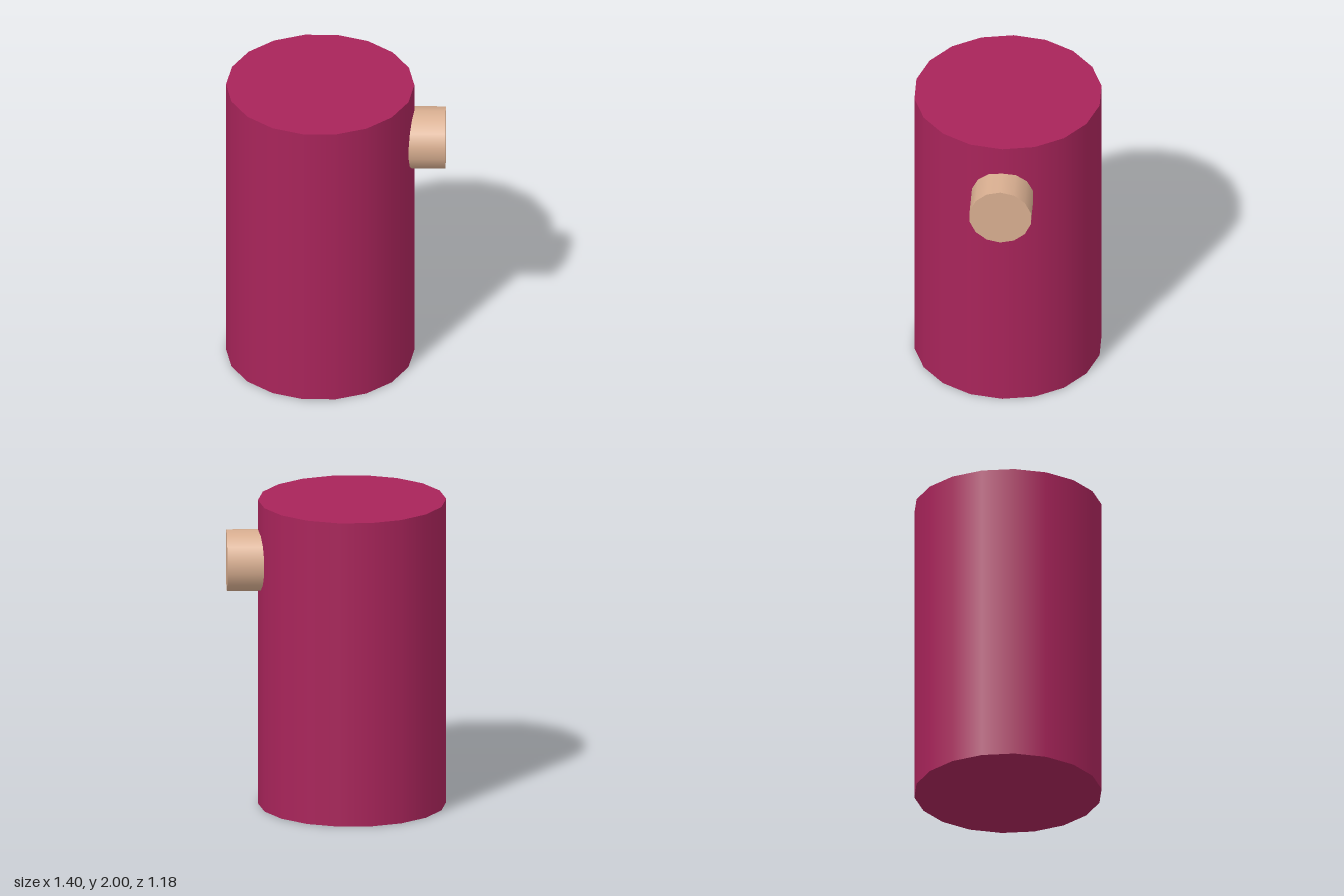
import * as THREE from 'three';

// Capped cylinder with its first corner turned onto the x axis
function cylinder(name, radius, length, sides, color) {
  const geometry = new THREE.CylinderGeometry(radius, radius, length, sides);
  geometry.rotateY(Math.PI / 2);
  const mesh = new THREE.Mesh(geometry, new THREE.MeshStandardMaterial({ color }));
  mesh.name = name;
  return mesh;
}

export function createModel() {
  const model = new THREE.Group();
  model.name = 'cylinderWithPeg';

  // Upright main body
  const body = cylinder('body', 0.6, 2, 18, 0xa8245a);
  body.position.set(-0.1, 1, 0);

  // Short peg sticking out of the left side, sunk into the body
  const peg = cylinder('sidePeg', 0.2, 0.4, 14, 0xd8ae90);
  peg.rotation.z = -Math.PI / 2;
  peg.position.set(0.5, 1.605, 0);

  model.add(body, peg);
  return model;
}
